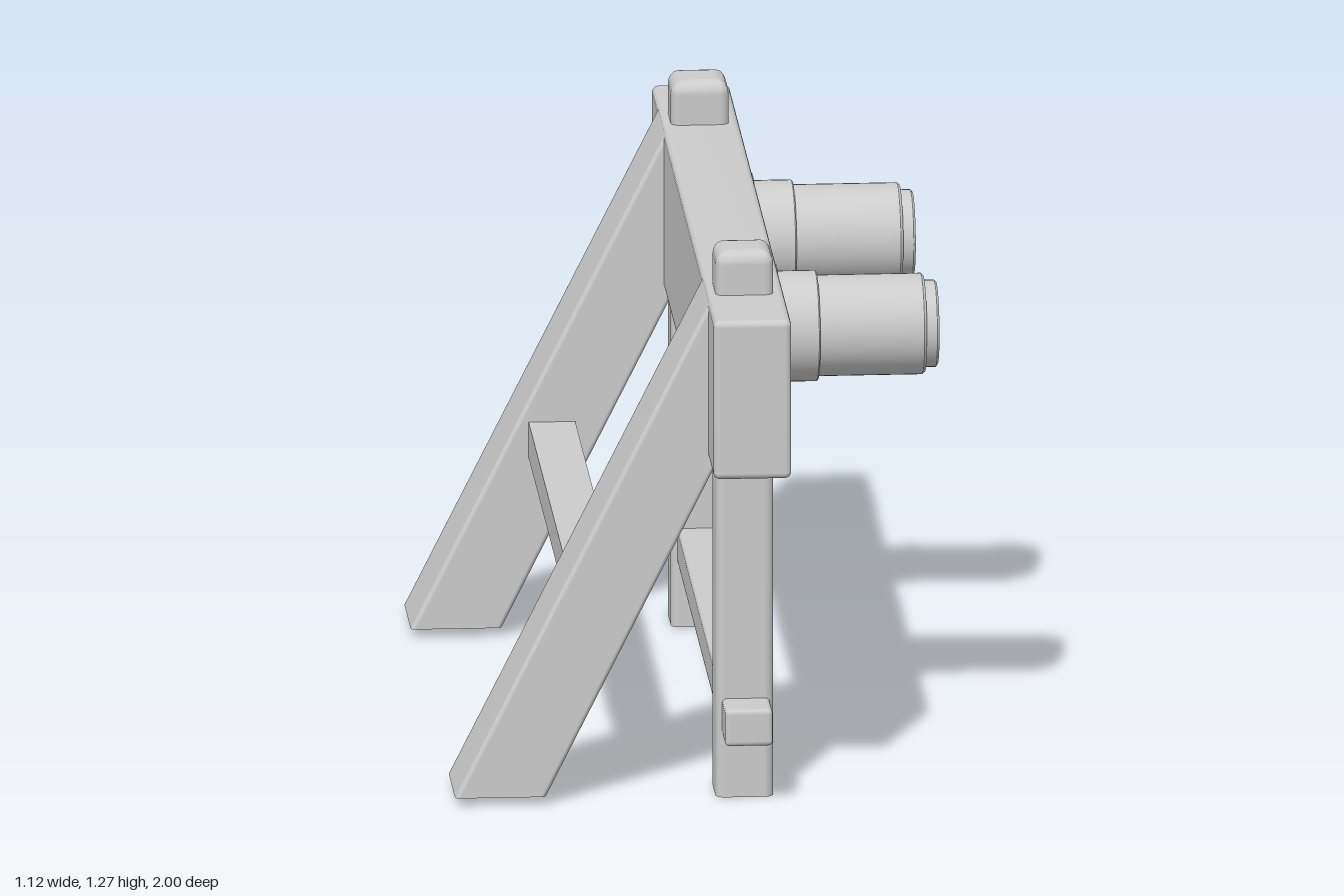
import * as THREE from 'three';

const material = new THREE.MeshStandardMaterial({ color: 0xcccccc });

// Stack of rounded rectangles (half sizes a, b) along an axis; each section is
// [position, inset]. A repeated section makes a hard edge; both ends are capped.
function loft(axis, a, b, r, sections) {
  const steps = 5, corners = [[1, 1], [-1, 1], [-1, -1], [1, -1]];
  const n = corners.length * (steps + 1);
  const first = sections[0], last = sections[sections.length - 1];
  const rings = [[first[0], null], first, ...sections, last, [last[0], null]];
  const pos = [], index = [];
  for (const [w, inset] of rings) {
    const rad = Math.max(r - inset, 0.002);
    corners.forEach(([sx, sy], q) => {
      for (let i = 0; i <= steps; i++) {
        const t = (q + i / steps) * Math.PI / 2;
        let u = 0, v = 0;
        if (inset !== null) {
          u = sx * (a - inset - rad) + rad * Math.cos(t);
          v = sy * (b - inset - rad) + rad * Math.sin(t);
        }
        pos.push(...{ x: [w, u, v], y: [v, w, u], z: [u, v, w] }[axis]);
      }
    });
  }
  for (let k = 0; k < rings.length - 1; k++) {
    for (let i = 0; i < n; i++) {
      const p = k * n + i, q = k * n + (i + 1) % n;
      index.push(p, q, q + n, p, q + n, p + n);
    }
  }
  const geo = new THREE.BufferGeometry();
  geo.setAttribute('position', new THREE.Float32BufferAttribute(pos, 3));
  geo.setIndex(index);
  geo.computeVertexNormals();
  return geo;
}

// Sections of a rounded end at w; dir is -1 for the start, 1 for the finish
function roundEnd(w, r, dir) {
  const out = [];
  for (let i = 0; i <= 5; i++) {
    const t = i / 5 * Math.PI / 2;
    out.push([w - dir * r * (1 - Math.sin(t)), r * (1 - Math.cos(t))]);
  }
  return dir < 0 ? out.reverse() : out;
}

function add(parent, name, geo, x = 0, y = 0, z = 0) {
  const mesh = new THREE.Mesh(geo, material);
  mesh.name = name;
  mesh.position.set(x, y, z);
  parent.add(mesh);
}

// Slanted leg: level foot, top cut to end inside the beam
function braceGeometry() {
  const geo = loft('y', 0.11, 0.1025, 0.012, [[0, 0], [1, 0]]);
  const p = geo.attributes.position;
  for (let i = 0; i < p.count; i++) {
    const x0 = p.getX(i) - 0.4575;
    if (p.getY(i) > 0.5) {
      const x = 0.012 + 0.038 * (x0 + 0.56) / 0.205;
      p.setXY(i, x, 0.02 + 2 * (x - x0));
    } else {
      p.setXY(i, x0, 0.02);
    }
  }
  geo.computeVertexNormals();
  return geo;
}

// Stepped round bumper, turned around the x axis
function bumperGeometry() {
  const steps = [
    [0.145, 0.165], [0.145, 0.19], [0.14, 0.195], [0.125, 0.195], [0.125, 0.282],
    [0.122, 0.285], [0.114, 0.285], [0.114, 0.52], [0.109, 0.526], [0.098, 0.526],
    [0.098, 0.55], [0.093, 0.555], [0.045, 0.555], [0.045, 0.545], [0, 0.545],
  ];
  const points = [];
  steps.forEach(([r, x], i) => {
    const p = new THREE.Vector2(r, x);
    points.push(p);
    // close support points keep the turned edges crisp
    if (i < steps.length - 1) {
      const next = new THREE.Vector2(...steps[i + 1]);
      points.push(p.clone().lerp(next, 0.02), p.clone().lerp(next, 0.98));
    }
  });
  return new THREE.LatheGeometry(points, 48).rotateZ(-Math.PI / 2);
}

export function createModel() {
  const model = new THREE.Group();
  model.name = 'trackEndStop';

  // Main beam with a shallow recessed front panel
  add(model, 'beam', loft('x', 0.185, 1, 0.015, [
    ...roundEnd(0.01, 0.015, -1), ...roundEnd(0.185, 0.015, 1),
    [0.185, 0.034], [0.185, 0.034], [0.177, 0.034],
  ]), 0, 0.985, 0);

  // Mirrored posts, slanted legs and bumpers
  const post = loft('y', 0.065, 0.065, 0.02, [[0, 0], ...roundEnd(1.27, 0.03, 1)]);
  const brace = braceGeometry();
  const bumper = bumperGeometry();
  for (const [end, s] of [['front', 1], ['back', -1]]) {
    add(model, end + 'Post', post, 0.095, 0, s * 0.715);
    add(model, end + 'Brace', brace, 0, 0, s * 0.71);
    add(model, end + 'Bumper', bumper, 0, 0.985, s * 0.38);
  }

  // Lower rail passing through the posts
  add(model, 'lowerRail', loft('z', 0.0535, 0.0425, 0.01, [
    ...roundEnd(-0.88, 0.01, -1), ...roundEnd(0.88, 0.01, 1),
  ]), 0.0975, 0.1875, 0);

  // Rail between the slanted legs
  add(model, 'braceRail', new THREE.BoxGeometry(0.105, 0.083, 1.22), -0.2425, 0.457, 0);

  return model;
}
